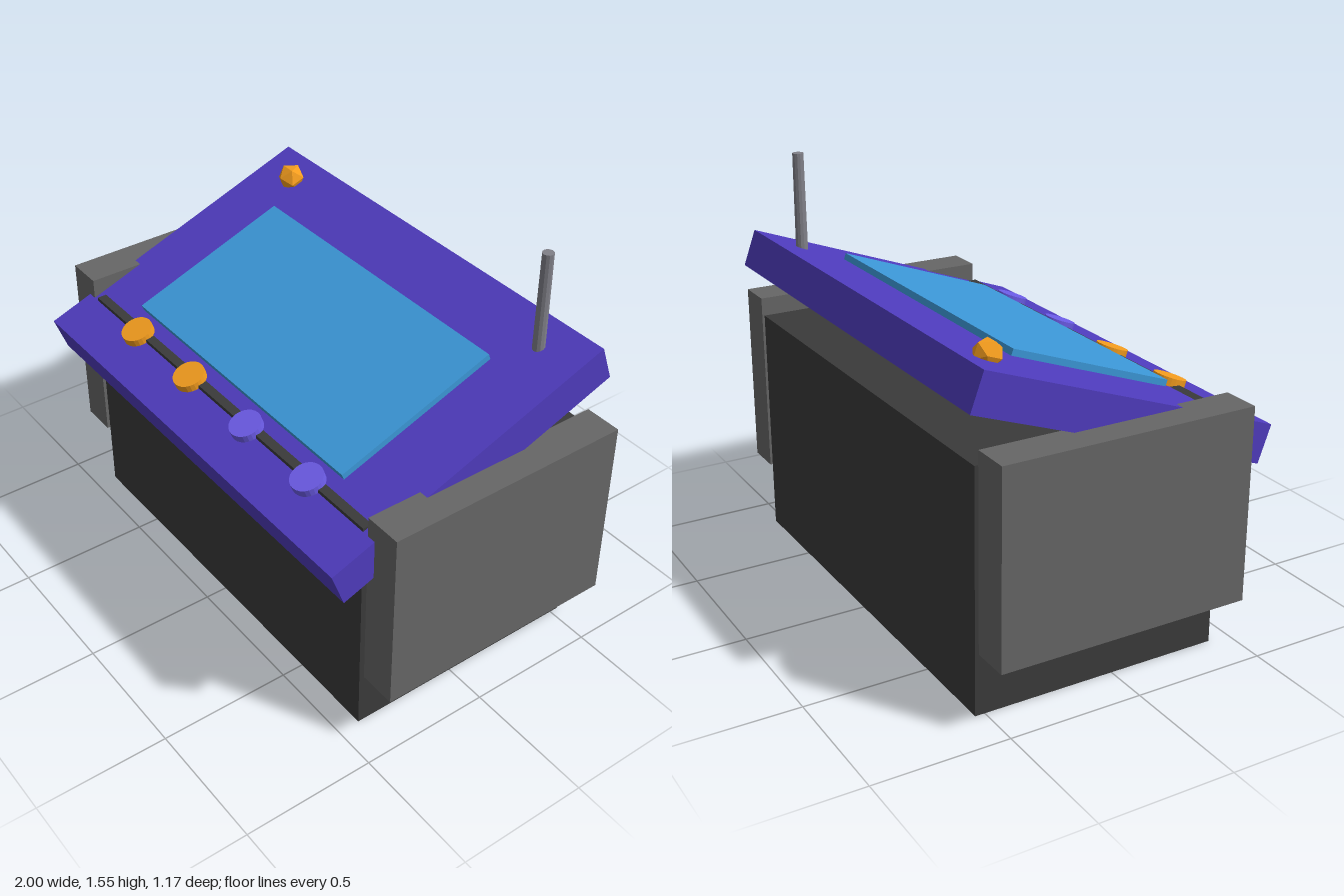
import * as THREE from 'three';

export function createModel() {
  const model = new THREE.Group();
  model.name = 'console';

  const paint = (color) => {
    const m = new THREE.MeshStandardMaterial({ flatShading: true });
    m.color.set(color);
    return m;
  };
  const dark = paint(0x3a3a3a), grey = paint(0x666666), metal = paint(0x808088);
  const violet = paint(0x4f3cbe), lilac = paint(0x6c5ce7);
  const blue = paint(0x3c98d8), orange = paint(0xf39c1e);

  const add = (parent, name, geometry, material, x, y, z) => {
    const mesh = new THREE.Mesh(geometry, material);
    mesh.name = name;
    mesh.position.set(x, y, z);
    parent.add(mesh);
    return mesh;
  };

  // Main housing; its top front edge pokes through the sloping panel
  const depth = 0.952, midZ = -0.06;
  add(model, 'body', new THREE.BoxGeometry(1.667, 0.893, depth), dark, 0, 0.4465, midZ);

  // Side blocks
  for (const s of [1, -1]) {
    add(model, s > 0 ? 'leftSide' : 'rightSide',
      new THREE.BoxGeometry(0.142, 0.712, depth), grey, s * 0.929, 0.6, midZ);
  }

  // Sloping control panel with everything mounted on it
  const panel = new THREE.Group();
  panel.name = 'controlPanel';
  panel.position.set(0, 0.955, 0);
  panel.rotation.x = THREE.MathUtils.degToRad(20);
  model.add(panel);
  const top = 0.0715;
  add(panel, 'panelSlab', new THREE.BoxGeometry(1.786, 2 * top, 1.19), violet, 0, 0, 0);
  add(panel, 'screen', new THREE.BoxGeometry(1.25, 0.024, 0.655), blue, 0, top + 0.017, 0);

  // Row of round buttons
  [-0.536, -0.179, 0.179, 0.536].forEach((x, i) => {
    add(panel, 'button' + (i + 1), new THREE.CylinderGeometry(0.06, 0.06, 0.03, 24),
      i < 2 ? orange : lilac, x, top + 0.015, 0.41);
  });

  // Faceted lamp
  add(panel, 'lamp', new THREE.IcosahedronGeometry(0.054, 0), orange, -0.715, 0.087, -0.479);

  // Upright aerial, its foot sunk into the panel
  add(model, 'aerial', new THREE.CylinderGeometry(0.021, 0.023, 0.38, 12), metal, 0.712, 1.36, -0.416);

  return model;
}
